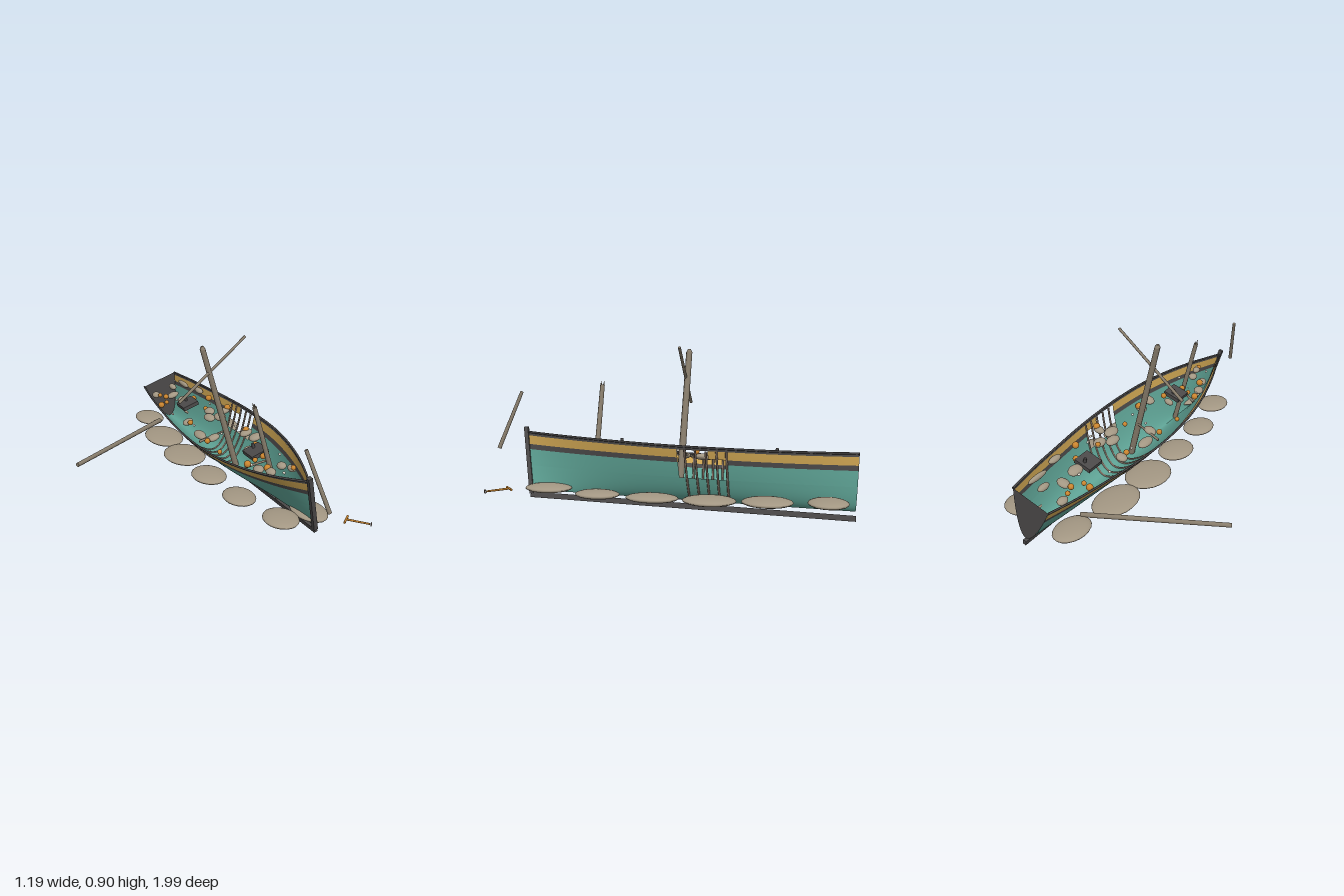
import * as THREE from 'three';

const mat = (name, color, double) => {
  const m = new THREE.MeshStandardMaterial({ color });
  m.name = name;
  if (double) m.side = THREE.DoubleSide;
  return m;
};

// Hull section rules: s runs stern (0) to bow (1), t runs keel (0) to gunwale (1)
const BEAM = [0.12, 0.153, 0.177, 0.198, 0.209, 0.207, 0.19, 0.15, 0.088, 0.003];
const beamCurve = new THREE.CatmullRomCurve3(BEAM.map((w, i) => new THREE.Vector3(i, w, 0)));
const beam = (s) => beamCurve.getPoint(s).y;
const depth = (s) => 0.268 + (s < 0.45 ? 0.12 : 0.17) * (s - 0.45) ** 2;
const hullPoint = (s, t, side) => new THREE.Vector3(
  side * beam(s) * t ** (0.52 + 0.35 * s * s * s),
  depth(s) * t,
  -0.985 + s * (1.75 + 0.055 * t));
const sAt = (z) => (z + 0.985) / 1.79;

// One painted strip of hull planking
function strip(s0, s1, t0, t1, side) {
  const nu = Math.max(4, Math.round((s1 - s0) * 40)), nv = t0 === 0 ? 10 : 4;
  const pos = [], idx = [];
  for (let i = 0; i <= nu; i++) {
    for (let j = 0; j <= nv; j++) {
      const k = j / nv;
      const t = t0 + (t1 - t0) * (t0 === 0 ? k * k : k);
      pos.push(...hullPoint(s0 + (s1 - s0) * i / nu, t, side).toArray());
      if (i < nu && j < nv) {
        const a = i * (nv + 1) + j, b = a + nv + 1;
        if (side > 0) idx.push(a, a + 1, b, b, a + 1, b + 1);
        else idx.push(a, b, a + 1, b, b + 1, a + 1);
      }
    }
  }
  const g = new THREE.BufferGeometry();
  g.setAttribute('position', new THREE.Float32BufferAttribute(pos, 3));
  g.setIndex(idx);
  g.computeVertexNormals();
  return g;
}

export function createModel() {
  const teal = mat('teal paint', 0x5fa496, true);
  const gold = mat('ochre stripe', 0xc9a150, true);
  const dark = mat('dark timber', 0x4b4949, true);
  const wood = mat('weathered wood', 0x887d6c);
  const ribWood = mat('rib wood', 0x7d6c60);
  const stone = mat('stone', 0xa39783);
  const orange = mat('orange growth', 0xc9842f);
  const white = mat('pale shell', 0xded9cd);

  const model = new THREE.Group();
  model.name = 'shipwreck';
  const ship = new THREE.Group();
  ship.name = 'ship';
  ship.position.set(0.31, 0.078, 0);
  ship.rotation.set(-0.0286, 0, 0.28);
  model.add(ship);

  const add = (parent, name, geo, m) => {
    const mesh = new THREE.Mesh(geo, m);
    mesh.name = name;
    parent.add(mesh);
    return mesh;
  };
  // Tapered round bar between two points
  const rod = (parent, name, a, b, r0, r1, m, sides = 8) => {
    const p = new THREE.Vector3(...a), q = new THREE.Vector3(...b);
    const d = q.clone().sub(p);
    const mesh = add(parent, name, new THREE.CylinderGeometry(r1, r0, d.length(), sides), m);
    mesh.position.copy(p).add(q).multiplyScalar(0.5);
    mesh.quaternion.setFromUnitVectors(new THREE.Vector3(0, 1, 0), d.normalize());
    return mesh;
  };
  const blob = (parent, name, x, y, z, rx, ry, rz, m) => {
    const mesh = add(parent, name, new THREE.SphereGeometry(1, 20, 12), m);
    mesh.position.set(x, y, z);
    mesh.scale.set(rx, ry, rz);
    return mesh;
  };

  // Planking bands; the left side has a breach
  const bands = [
    ['lowerHull', 0, 0.42, teal, null],
    ['upperHull', 0.42, 0.70, teal, -0.32],
    ['lowerBand', 0.70, 0.79, dark, -0.32],
    ['stripe', 0.79, 0.94, gold, -0.22],
    ['topBand', 0.94, 1, dark, null],
  ];
  for (const [name, t0, t1, m, holeEnd] of bands) {
    add(ship, name + 'Right', strip(0, 1, t0, t1, -1), m);
    if (holeEnd === null) add(ship, name + 'Left', strip(0, 1, t0, t1, 1), m);
    else {
      add(ship, name + 'LeftAft', strip(0, sAt(holeEnd), t0, t1, 1), m);
      add(ship, name + 'LeftFore', strip(sAt(-0.06), 1, t0, t1, 1), m);
    }
  }

  // Transom
  const outline = [];
  for (let i = -12; i <= 12; i++) {
    const p = hullPoint(0, (i / 12) ** 2, Math.sign(i));
    outline.push(new THREE.Vector2(p.x, p.y));
  }
  add(ship, 'transom', new THREE.ShapeGeometry(new THREE.Shape(outline)), dark).position.z = -0.985;

  // Gunwale rails
  for (const side of [-1, 1]) {
    const pts = [];
    for (let i = 0; i <= 20; i++) pts.push(hullPoint(i / 20, 1, side));
    add(ship, 'gunwale', new THREE.TubeGeometry(new THREE.CatmullRomCurve3(pts), 40, 0.006, 6), dark);
  }

  // Keel and stem
  const keel = add(ship, 'keel', new THREE.BoxGeometry(0.022, 0.03, 1.76), dark);
  keel.position.set(0, -0.032, -0.108);
  keel.rotation.x = -0.006;
  const stem = add(ship, 'stem', new THREE.BoxGeometry(0.024, 0.375, 0.022), dark);
  stem.position.set(0, 0.163, 0.803);
  stem.rotation.x = 0.185;

  // Exposed ribs
  for (const z of [-0.1, -0.155, -0.21, -0.265, -0.315]) {
    const pts = [];
    for (let i = -10; i <= 10; i++) {
      pts.push(hullPoint(sAt(z), 0.94 * (i / 10) ** 2, Math.sign(i)));
    }
    add(ship, 'rib', new THREE.TubeGeometry(new THREE.CatmullRomCurve3(pts), 32, 0.006, 6), ribWood);
  }

  // Broken masts with splintered tips
  rod(ship, 'mainMast', [0, 0, -0.055], [0, 0.81, -0.055], 0.02, 0.017, wood);
  rod(ship, 'mainMastTip', [0, 0.81, -0.055], [0.002, 0.828, -0.055], 0.017, 0.008, wood);
  rod(ship, 'foreMast', [0, 0, 0.42], [0, 0.605, 0.42], 0.016, 0.013, wood);
  for (const dz of [-0.007, 0.007]) {
    rod(ship, 'foreMastSplinter', [0, 0.6, 0.42 + dz], [0, 0.628, 0.42 + dz * 1.3], 0.006, 0.001, wood, 5);
  }

  // Hatches with a small knob
  for (const z of [-0.54, 0.31]) {
    const y = depth(sAt(z));
    add(ship, 'hatch', new THREE.BoxGeometry(0.108, 0.025, 0.105), dark).position.set(-0.01, y - 0.005, z);
    rod(ship, 'hatchKnob', [-0.005, y, z - 0.025], [-0.005, y + 0.035, z - 0.025], 0.01, 0.008, dark, 6);
  }

  // Debris at deck level: x, z, half width, half length
  const CX = 0.238;
  const deckY = (z) => depth(sAt(z)) - 0.02;
  const stones = [
    [.14, -.86, .025, .035], [.27, -.86, .02, .04], [.34, -.83, .015, .07], [.22, -.76, .04, .03],
    [.37, -.66, .02, .045], [.24, -.64, .035, .05], [.13, -.37, .035, .03], [.29, -.37, .03, .045],
    [.25, -.3, .03, .05], [.3, -.25, .033, .05], [.36, -.29, .035, .025], [.11, -.17, .03, .06],
    [.15, -.07, .04, .03], [.31, .05, .04, .03], [.32, .14, .04, .035], [.22, .22, .03, .02],
    [.15, .45, .028, .035], [.18, .53, .025, .035], [.25, .53, .025, .03], [.27, .6, .02, .03],
  ];
  for (const [x, z, rx, rz] of stones) blob(ship, 'deckStone', x - CX, deckY(z), z + 0.01, rx, 0.018, rz, stone);
  const growths = [
    [.15, -.81], [.17, -.76], [.1, -.69], [.14, -.69], [.29, -.58], [.36, -.5], [.28, -.4],
    [.13, -.33], [.38, -.29], [.28, -.15], [.1, -.05], [.32, .04], [.09, .12], [.27, .23],
    [.13, .37], [.18, .37], [.23, .375], [.18, .5], [.27, .62],
  ];
  growths.forEach(([x, z], i) => {
    const r = 0.014 + 0.003 * (i % 3);
    blob(ship, 'growth', x - CX, deckY(z) + 0.012, z + 0.01, r, r, r, orange);
  });
  const shells = [
    [.1, -.52], [.33, -.43], [.35, -.38], [.13, -.28], [.2, -.05], [.3, -.05],
    [.14, .4], [.21, .62], [.28, .61], [.2, -.66], [.3, .44],
  ];
  for (const [x, z] of shells) blob(ship, 'shell', x - CX, deckY(z) + 0.012, z + 0.01, 0.007, 0.007, 0.01, white);
  rod(ship, 'deckSplinter', [-0.17, 0.25, -0.09], [0, 0.25, -0.07], 0.008, 0.006, wood, 6);
  rod(ship, 'deckSplinter', [-0.12, 0.25, 0.36], [0.0, 0.25, 0.4], 0.008, 0.006, wood, 6);

  // Loose spars
  rod(model, 'yard', [-0.07, 0.56, -0.065], [0.357, 0.895, -0.065], 0.009, 0.008, wood);
  rod(model, 'fallenSpar', [-0.593, 0.137, -0.387], [0.12, 0.137, -0.755], 0.013, 0.015, wood);
  rod(model, 'bowsprit', [0.232, 0.313, 0.985], [0.148, 0.628, 0.872], 0.012, 0.01, wood);

  // Flat boulders around the hull: x, z, half width, half length
  const boulders = [
    [.09, -.86, .09, .12], [.05, -.54, .115, .16], [.05, -.24, .125, .15],
    [.06, .06, .1, .12], [.09, .36, .09, .11], [.17, .66, .095, .11],
    [.45, -.84, .105, .105], [.475, -.535, .1, .133], [.49, -.24, .1, .14],
    [.48, .06, .08, .14], [.447, .36, .08, .12], [.348, .66, .09, .13],
  ];
  for (const [x, z, rx, rz] of boulders) blob(model, 'boulder', x, 0.124, z, rx, 0.022, rz, stone);

  // Anchor lying off the bow
  const anchor = new THREE.Group();
  anchor.name = 'anchor';
  model.add(anchor);
  rod(anchor, 'anchorShank', [0.456, 0.138, 0.843], [0.538, 0.138, 0.938], 0.006, 0.005, orange);
  rod(anchor, 'anchorCrossbar', [0.428, 0.138, 0.868], [0.486, 0.138, 0.82], 0.006, 0.006, orange);
  const ring = add(anchor, 'anchorRing', new THREE.TorusGeometry(0.009, 0.003, 8, 16), ribWood);
  ring.position.set(0.542, 0.138, 0.944);
  ring.rotation.y = Math.PI / 2 - 0.7;

  return model;
}
